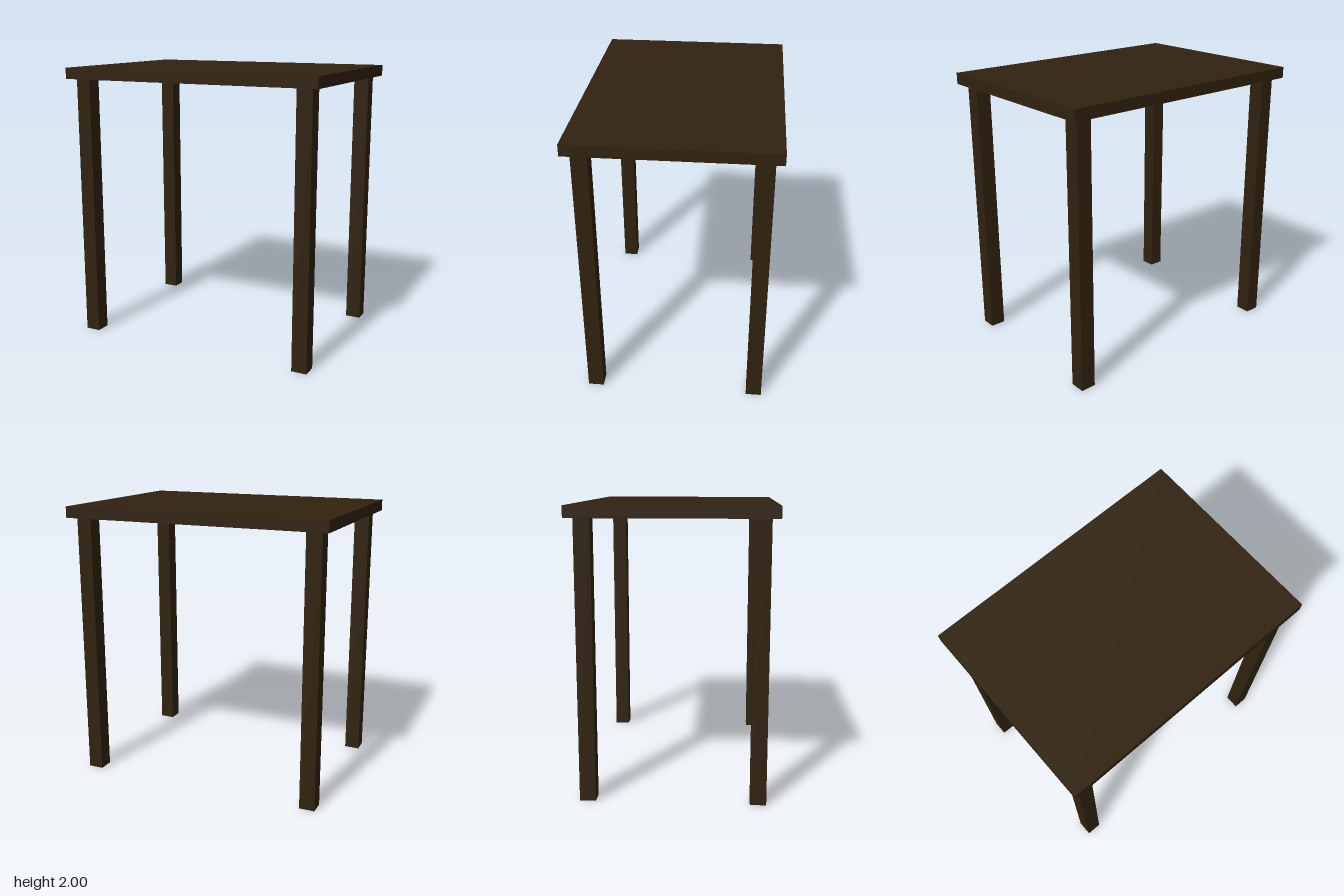
import * as THREE from 'three';

export function createModel() {
  const model = new THREE.Group();
  model.name = 'table';
  const darkWood = new THREE.MeshStandardMaterial({ color: 0x30220f });
  darkWood.name = 'dark wood';

  const addBox = (name, w, h, d, x, y, z) => {
    const mesh = new THREE.Mesh(new THREE.BoxGeometry(w, h, d), darkWood);
    mesh.name = name;
    mesh.position.set(x, y, z);
    model.add(mesh);
  };

  // Overhanging slab
  const height = 2, topThickness = 0.08;
  addBox('tableTop', 1.93, topThickness, 1.38, 0, height - topThickness / 2, 0);

  // Four square legs, inset from the corners
  const legHeight = height - topThickness;
  for (const [xName, sx] of [['Left', 1], ['Right', -1]]) {
    for (const [zName, sz] of [['front', 1], ['back', -1]]) {
      addBox(`${zName}${xName}Leg`, 0.11, legHeight, 0.11, sx * 0.855, legHeight / 2, sz * 0.58);
    }
  }
  return model;
}
